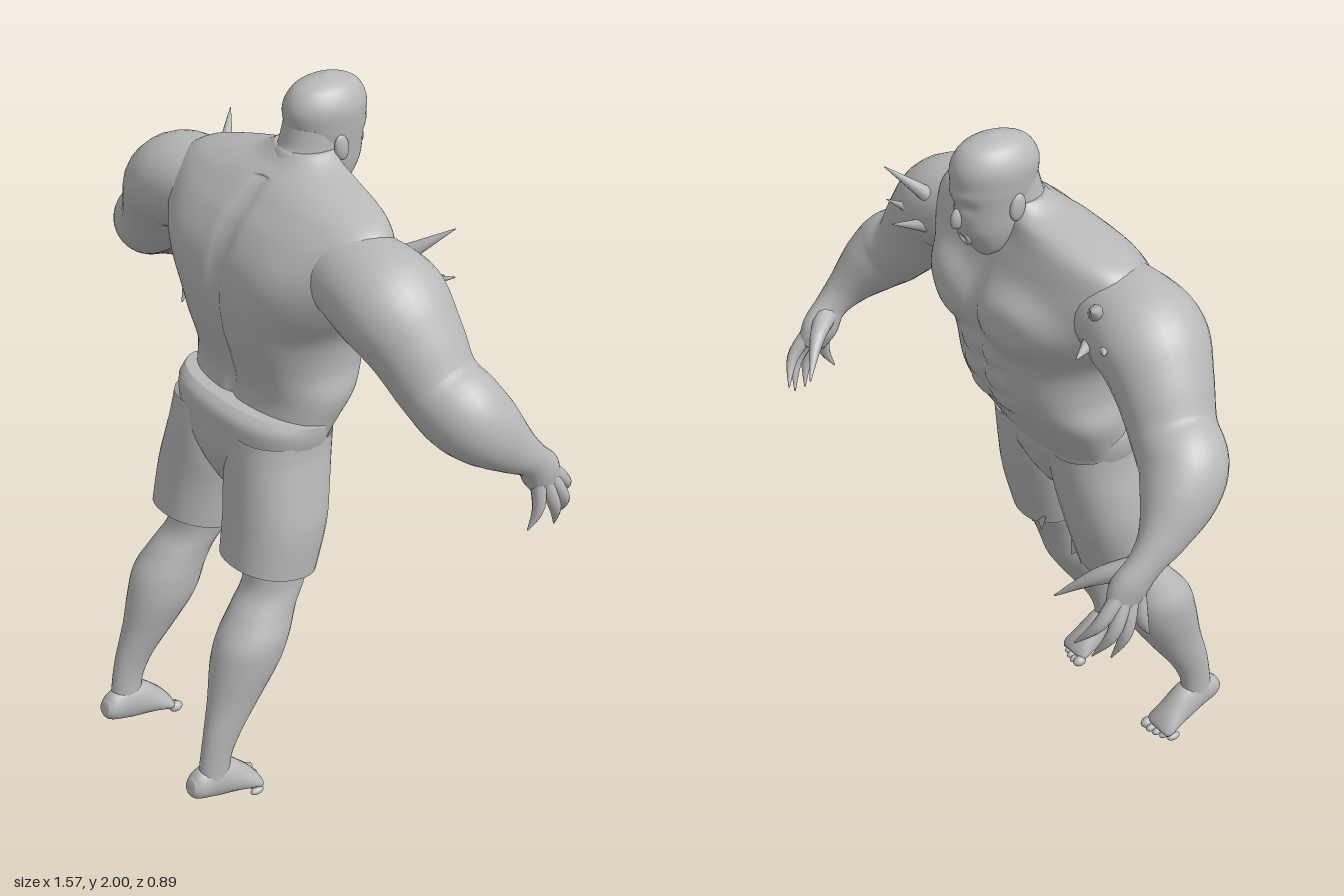
import * as THREE from 'three';

const skin = new THREE.MeshStandardMaterial({ color: 0xb8b8b8, side: THREE.DoubleSide });
skin.name = 'clay grey';

// Catmull-Rom refinement of rows of numbers
function refine(rows, k) {
  const out = [];
  for (let i = 0; i < rows.length - 1; i++) {
    const a = rows[Math.max(i - 1, 0)], b = rows[i], c = rows[i + 1], d = rows[Math.min(i + 2, rows.length - 1)];
    for (let s = 0; s < k; s++) {
      const t = s / k;
      out.push(b.map((v, j) => {
        const quad = 2 * a[j] - 5 * v + 4 * c[j] - d[j];
        const cubic = 3 * v - a[j] - 3 * c[j] + d[j];
        return 0.5 * (2 * v + (c[j] - a[j]) * t + quad * t * t + cubic * t * t * t);
      }));
    }
  }
  out.push(rows[rows.length - 1].slice());
  return out;
}

// Closed skin over rings of points, optionally capped
function skinRings(rings, caps) {
  const n = rings[0].length, pos = [], idx = [];
  rings.forEach(r => r.forEach(p => pos.push(p.x, p.y, p.z)));
  for (let i = 0; i < rings.length - 1; i++) for (let j = 0; j < n; j++) {
    const a = i * n + j, b = a + n, c = i * n + (j + 1) % n, d = c + n;
    idx.push(a, b, c, c, b, d);
  }
  if (caps) [0, rings.length - 1].forEach((i, top) => {
    const m = rings[i].reduce((s, p) => s.add(p), new THREE.Vector3()).divideScalar(n);
    const k = pos.length / 3;
    pos.push(m.x, m.y, m.z);
    for (let j = 0; j < n; j++) {
      const a = i * n + j, b = i * n + (j + 1) % n;
      if (top) idx.push(a, k, b); else idx.push(a, b, k);
    }
  });
  const g = new THREE.BufferGeometry();
  g.setAttribute('position', new THREE.Float32BufferAttribute(pos, 3));
  g.setIndex(idx);
  g.computeVertexNormals();
  return g;
}

// Level sections, bottom to top: [x, y, z, rx, rz, tilt]
function stack(rows, { n = 32, k = 4, power = 1, caps = true, warp } = {}) {
  const f = v => Math.sign(v) * Math.pow(Math.abs(v), power);
  const rings = refine(rows, k).map(([x, y, z, rx, rz, tilt]) => Array.from({ length: n }, (_, j) => {
    const t = j / n * Math.PI * 2, dz = rz * f(Math.sin(t));
    const p = new THREE.Vector3(x + rx * f(Math.cos(t)), y + dz * tilt, z + dz);
    if (warp) warp(p);
    return p;
  }));
  return skinRings(rings, caps);
}

// Sections square to a path: [x, y, z, radius across, radius along ref]
function limb(rows, ref = new THREE.Vector3(0, 0, 1), n = 20) {
  const rs = refine(rows, 5), c = rs.map(r => new THREE.Vector3(r[0], r[1], r[2]));
  const rings = rs.map((r, i) => {
    const T = c[Math.min(i + 1, c.length - 1)].clone().sub(c[Math.max(i - 1, 0)]).normalize();
    const V = ref.clone().addScaledVector(T, -ref.dot(T)).normalize(), U = T.clone().cross(V);
    return Array.from({ length: n }, (_, j) => {
      const t = j / n * Math.PI * 2;
      return c[i].clone().addScaledVector(U, r[3] * Math.cos(t)).addScaledVector(V, r[4] * Math.sin(t));
    });
  });
  return skinRings(rings, true);
}

// Soft round swelling around (x, y)
const swell = (p, x, y, rx, ry, sharp = 1) =>
  Math.exp(-Math.pow(((Math.abs(p.x) - x) / rx) ** 2 + ((p.y - y) / ry) ** 2, sharp));

// Chest, belly and back muscles on the torso
function muscles(p) {
  const middle = Math.exp(-Math.pow(p.x / 0.02, 2));
  if (p.z > 0.02) {
    p.z += 0.016 * swell(p, .19, 1.58, .11, .1) + 0.014 * swell(p, .15, 1.36, .07, .12) - 0.016 * middle;
  } else if (p.z < -0.06) {
    p.z -= 0.035 * swell(p, .145, 1.54, .135, .085, 2) - 0.008 * middle * swell(p, 0, 1.48, 1, .2);
    for (let i = 0; i < 3; i++) p.z -= 0.01 * swell(p, .05, 1.41 - i * .075, .04, .032, 2);
  }
}

export function createModel() {
  const model = new THREE.Group();
  model.name = 'clawedBrute';
  const add = (name, geo) => {
    const m = new THREE.Mesh(geo, skin);
    m.name = name;
    model.add(m);
    return m;
  };
  const blob = (name, p, r, rot = [0, 0, 0]) => {
    const m = add(name, new THREE.SphereGeometry(1, 24, 16));
    m.position.set(...p);
    m.scale.set(...r);
    m.rotation.set(...rot);
  };

  // Torso rows: y, half width, back z, front z
  const torso = [
    [1.06, .225, .15, -.08], [1.14, .245, .14, -.13], [1.22, .262, .128, -.18], [1.30, .25, .145, -.22],
    [1.40, .265, .172, -.235], [1.50, .325, .182, -.242], [1.60, .375, .162, -.235], [1.68, .385, .12, -.208],
    [1.735, .35, .07, -.188], [1.77, .25, .03, -.18], [1.80, .13, -.015, -.18], [1.83, .08, -.05, -.19],
  ].map(([y, w, b, f]) => [0, y, (b + f) / 2, w, (b - f) / 2, 0]);
  add('torso', stack(torso, { n: 112, k: 8, power: .88, warp: muscles }));

  // Neck and head
  add('neck', limb([[0, 1.70, -.10, .1, .1], [0, 1.77, -.12, .086, .1], [0, 1.81, -.135, .079, .09], [0, 1.88, -.15, .075, .085]]));
  add('head', stack([
    [0, 1.69, -.215, .028, .02, 0], [0, 1.71, -.205, .05, .045, 0], [0, 1.76, -.188, .07, .095, 0],
    [0, 1.82, -.185, .078, .108, 0], [0, 1.88, -.182, .085, .117, 0], [0, 1.93, -.18, .085, .119, 0],
    [0, 1.97, -.18, .066, .097, 0], [0, 1.99, -.18, .04, .06, 0], [0, 2.0, -.18, .008, .01, 0],
  ], {
    warp: p => { // eye sockets and brow ridge
      if (p.z < -.2) p.z += .008 * swell(p, .032, 1.837, .018, .016) - .005 * swell(p, 0, 1.865, .06, .014);
    },
    k: 8, n: 48,
  }));
  blob('nose', [0, 1.803, -.290], [.014, .03, .02], [.3, 0, 0]);
  const lips = add('lips', new THREE.TorusGeometry(.018, .007, 10, 24));
  lips.position.set(0, 1.747, -.272);
  lips.rotation.x = -.3;

  // Seat of the shorts
  add('shortsSeat', stack([
    [0, .91, .07, .03, .09, 0], [0, .97, .065, .11, .125, 0], [0, 1.03, .062, .21, .143, .05],
    [0, 1.08, .055, .24, .15, .12], [0, 1.125, .05, .25, .15, .2], [0, 1.155, .035, .25, .135, .2],
  ], { power: .85 }));

  for (const s of [1, -1]) {
    const side = s > 0 ? 'left' : 'right';
    const mx = rows => rows.map(([x, ...r]) => [x * s, ...r]);
    blob(side + 'Ear', [s * .083, 1.83, -.17], [.011, .036, .022], [.2, 0, 0]);

    // Arm down to the palm
    add(side + 'Arm', limb(mx([
      [.20, 1.62, -.03, .10, .11], [.34, 1.61, -.03, .12, .14], [.445, 1.58, -.035, .13, .15],
      [.52, 1.505, -.05, .112, .13], [.585, 1.415, -.068, .098, .113], [.655, 1.362, -.09, .106, .112],
      [.698, 1.305, -.14, .088, .098], [.727, 1.24, -.205, .056, .066], [.735, 1.19, -.26, .040, .048],
      [.73, 1.135, -.305, .040, .055], [.735, 1.085, -.33, .025, .045],
    ]), undefined, 28));

    // Clawed fingers: knuckle, middle, tip
    const fingers = [
      [[.735, 1.13, -.335], [.735, 1.065, -.395], [.692, 1.0, -.437]],
      [[.738, 1.12, -.325], [.757, 1.04, -.37], [.72, .962, -.405]],
      [[.738, 1.12, -.305], [.762, 1.03, -.335], [.74, .95, -.362]],
      [[.735, 1.14, -.285], [.755, 1.045, -.283], [.75, .98, -.255]],
      [[.73, 1.18, -.275], [.665, 1.145, -.35], [.588, 1.07, -.422]],
    ];
    fingers.forEach((f, i) => {
      const radii = i < 4 ? [.022, .017, .002] : [.034, .021, .002];
      const rows = f.map((p, j) => [...p, radii[j], radii[j]]);
      add(side + (i < 4 ? 'Finger' : 'Thumb'), limb(mx(rows), new THREE.Vector3(s, 0, .3), 10));
    });

    // Shoulder spikes: base, tip, radius
    const spikes = [
      [[.36, 1.65, -.13], [.455, 1.735, -.225], .026],
      [[.40, 1.59, -.14], [.485, 1.62, -.205], .024],
      [[.36, 1.58, -.15], [.415, 1.585, -.235], .022],
    ];
    spikes.forEach(([a, b, r]) => {
      const rows = [[...a, r, r], [...b, .001, .001]];
      add(side + 'Spike', limb(mx(rows), new THREE.Vector3(0, 1, 0), 10));
    });

    // Shorts leg, open at the hem
    add(side + 'ShortsLeg', stack(mx([
      [.156, .72, .125, .128, .127, .25], [.149, .85, .095, .136, .137, .15], [.134, .95, .077, .134, .142, .1],
      [.126, 1.04, .062, .122, .144, .1], [.124, 1.1, .053, .118, .142, .1],
    ]), { caps: false, power: .9 }));

    // Torn corner of the hem
    const corners = [[0, 0], [.07, 0], [.06, -.045], [.035, -.025], [.012, -.05]];
    const rag = new THREE.Shape(corners.map(([x, y]) => new THREE.Vector2(x, y)));
    const flap = add(side + 'TornHem', new THREE.ShapeGeometry(rag));
    flap.position.set(s > 0 ? .06 : -.13, .725, .012);
    flap.rotation.x = .15;

    // Leg
    add(side + 'Leg', stack(mx([
      [.215, .09, .365, .035, .05, 0], [.216, .17, .355, .034, .05, 0], [.214, .25, .327, .042, .063, 0],
      [.205, .35, .278, .062, .085, 0], [.198, .45, .235, .085, .107, 0], [.197, .53, .207, .09, .109, 0],
      [.186, .60, .165, .082, .097, 0], [.172, .68, .112, .082, .09, 0], [.155, .85, .085, .1, .11, 0],
    ]), { n: 28 }));

    // Foot and toes
    add(side + 'Foot', limb(mx([
      [.212, .10, .443, .02, .02], [.212, .095, .42, .043, .034], [.212, .09, .35, .062, .041],
      [.214, .056, .28, .042, .048], [.215, .03, .235, .022, .054], [.215, .02, .222, .012, .045],
    ]), new THREE.Vector3(1, 0, 0)));
    for (let i = 0; i < 5; i++) {
      const r = i ? .0115 : .016;
      blob(side + 'Toe', [s * (.172 + i * .0225), r, .217 + i * i * .0018], [r, r, .022]);
    }
  }
  return model;
}
